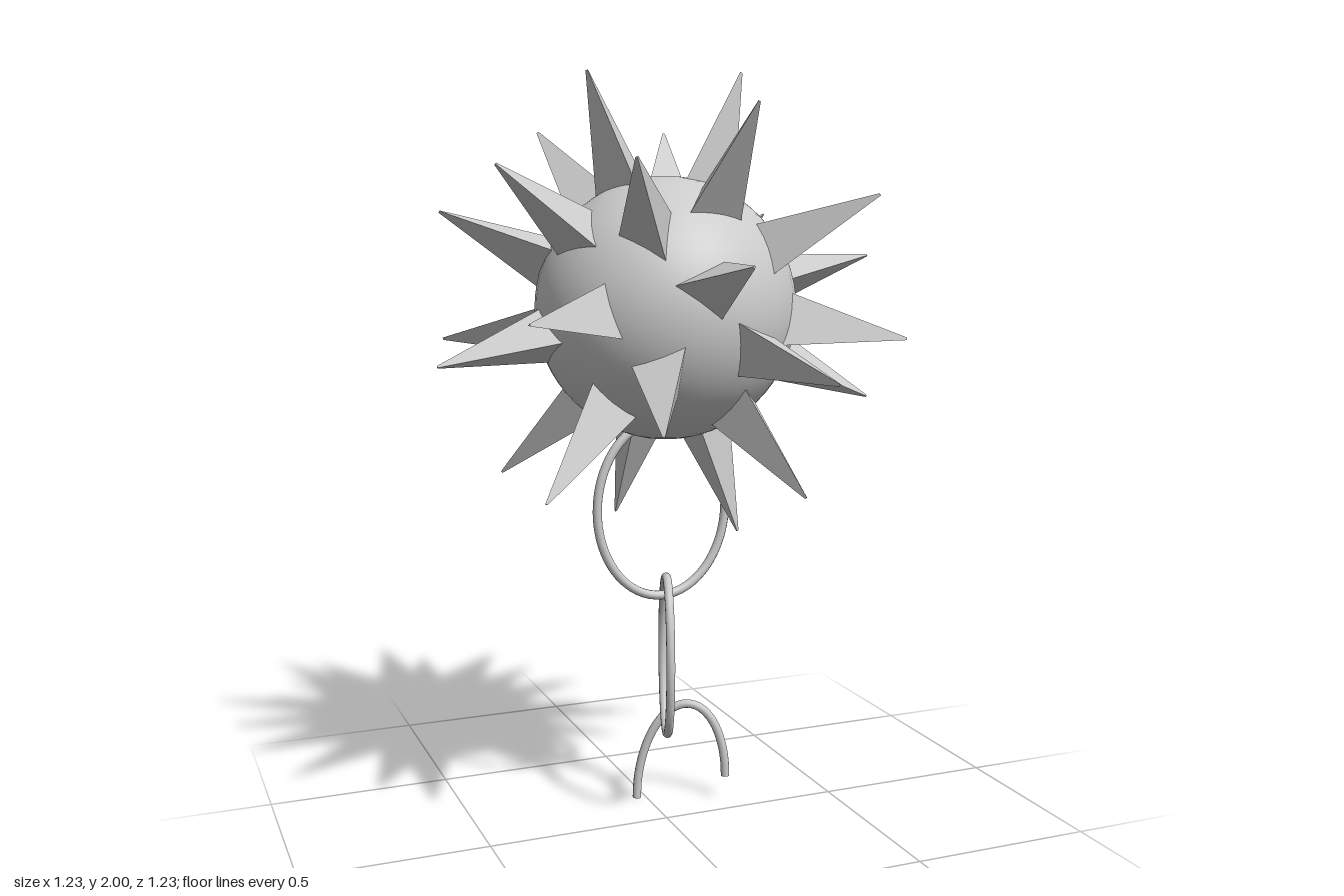
import * as THREE from 'three';

const smooth = new THREE.MeshStandardMaterial({ color: 0xcccccc });
const faceted = new THREE.MeshStandardMaterial({ color: 0xcccccc, flatShading: true });
const tubeMaterial = new THREE.MeshStandardMaterial({ color: 0xcccccc, side: THREE.DoubleSide });

const center = new THREE.Vector3(0, 1.4, -0.01);
const UP = new THREE.Vector3(0, 1, 0);

// Spike tips: x, y, z and optional roll in degrees
const tips = [
  // crown
  [-0.2, 2.0, -0.04], [0.19, 2.0, 0.035, 60],
  // upper ring
  [0.085, 1.905, 0.367, 60], [-0.23, 1.86, -0.37, 35], [0.15, 1.865, -0.4, 60],
  [-0.495, 1.76, 0.157], [-0.25, 1.77, 0.445], [0.395, 1.69, 0.4],
  [-0.55, 1.65, -0.19], [0.45, 1.64, -0.37],
  // middle
  [0.61, 1.53, -0.04], [-0.04, 1.53, 0.615, 20], [-0.205, 1.55, -0.58],
  [-0.49, 1.4, 0.397], [0.127, 1.4, -0.615], [-0.617, 1.275, 0.035],
  [0.5, 1.335, 0.367], [-0.505, 1.31, -0.37], [0.427, 1.28, -0.446],
  [0.2, 1.255, 0.577],
  // lower ring
  [0.575, 1.15, 0.035], [-0.22, 1.15, 0.533], [-0.03, 1.07, -0.535],
  [-0.405, 0.955, 0.23], [0.385, 0.97, -0.24], [0.225, 0.95, 0.367],
  [-0.39, 0.96, -0.22],
  // underside
  [-0.06, 0.825, -0.235], [0.19, 0.803, 0.035],
];

// Three-sided spike standing on the ball and ending at the given tip
function makeSpike([x, y, z, roll = 0]) {
  const dir = new THREE.Vector3(x, y, z).sub(center);
  const reach = dir.length();
  dir.normalize();
  const base = 0.325;
  const geometry = new THREE.CylinderGeometry(0.004, 0.082, reach - base, 3);
  geometry.rotateY(THREE.MathUtils.degToRad(roll));
  const spike = new THREE.Mesh(geometry, faceted);
  spike.name = 'spike';
  spike.quaternion.setFromUnitVectors(UP, dir);
  spike.position.copy(center).addScaledVector(dir, (reach + base) / 2);
  return spike;
}

// Oval wire link: mid + a cos t + b sin t, either full or only the upper half
function makeLink(name, mid, a, b, half = false) {
  const [m, u, v] = [mid, a, b].map((p) => new THREE.Vector3(...p));
  const steps = half ? 20 : 40;
  const points = [];
  for (let i = 0; i < steps + (half ? 1 : 0); i++) {
    const t = (i / steps) * Math.PI * (half ? 1 : 2);
    points.push(m.clone().addScaledVector(u, Math.cos(t)).addScaledVector(v, Math.sin(t)));
  }
  const curve = new THREE.CatmullRomCurve3(points, !half);
  const link = new THREE.Mesh(new THREE.TubeGeometry(curve, half ? 40 : 72, 0.012, 10, !half), tubeMaterial);
  link.name = name;
  return link;
}

export function createModel() {
  const model = new THREE.Group();
  model.name = 'spikedBall';

  // Ball
  const ball = new THREE.Mesh(new THREE.SphereGeometry(0.34, 48, 32), smooth);
  ball.name = 'ball';
  ball.position.copy(center);
  model.add(ball);

  // Spikes
  const spikes = new THREE.Group();
  spikes.name = 'spikes';
  tips.forEach((tip) => spikes.add(makeSpike(tip)));
  model.add(spikes);

  // Chain: two whole links and a broken last one
  const chain = new THREE.Group();
  chain.name = 'chain';
  chain.add(
    makeLink('upperLink', [-0.005, 0.87, -0.022], [0.183, 0, 0], [0, 0.24, 0]),
    makeLink('middleLink', [0.008, 0.459, -0.022], [-0.036, 0, 0.12], [0, 0.218, 0]),
    makeLink('brokenLink', [0.09, 0.037, -0.117], [0.115, 0.034, 0.05], [0, 0.243, 0], true),
  );
  model.add(chain);

  return model;
}
